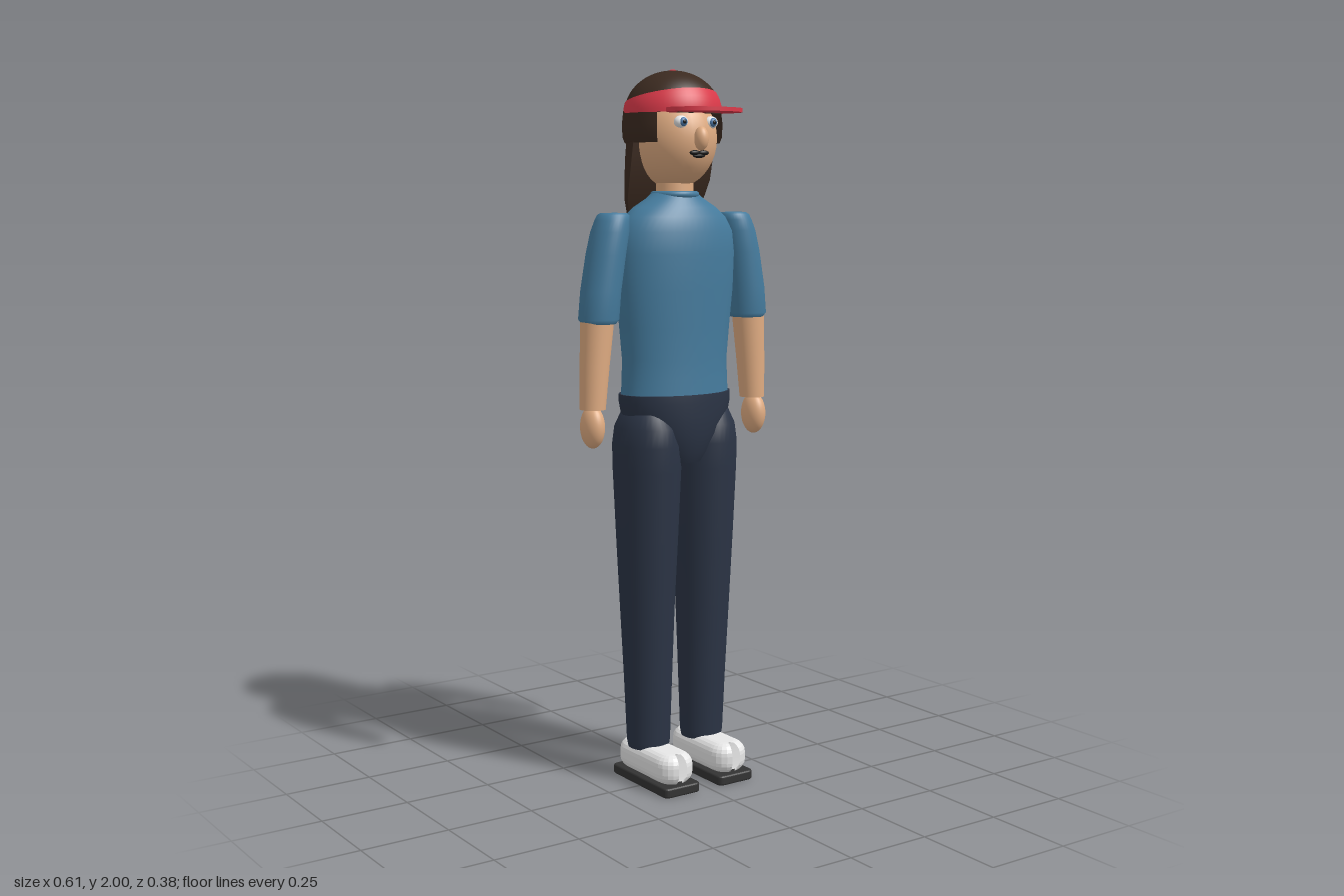
import * as THREE from 'three';

const mat = (name, color, side = THREE.FrontSide) => {
  const m = new THREE.MeshStandardMaterial({ color, side });
  m.name = name;
  return m;
};

// Closed skin over elliptical rings, listed bottom to top: [y, rx, rz, cx, cz].
// flatFront cuts away the front half of every ring.
function loft(rings, { flatFront = false, n = 36 } = {}) {
  const all = [[rings[0][0], 0, 0, ...rings[0].slice(3)], rings[0], ...rings,
    rings.at(-1), [rings.at(-1)[0], 0, 0, ...rings.at(-1).slice(3)]];
  const pos = [], idx = [];
  all.forEach(([y, rx, rz, cx = 0, cz = -0.038], i) => {
    for (let j = 0; j < n; j++) {
      const a = (j / n) * Math.PI * 2;
      const c = flatFront ? Math.min(0, Math.cos(a)) : Math.cos(a);
      pos.push(cx + rx * Math.sin(a), y, cz + rz * c);
      if (i === all.length - 1) continue;
      const p = i * n + j, q = i * n + ((j + 1) % n);
      idx.push(p, q, q + n, p, q + n, p + n);
    }
  });
  const g = new THREE.BufferGeometry();
  g.setAttribute('position', new THREE.Float32BufferAttribute(pos, 3));
  g.setIndex(idx);
  g.computeVertexNormals();
  return g;
}

// Box with rounded corners in plan and a rounded edge all round
function roundedSlab(w, h, d, r, bevel) {
  const x = w / 2 - bevel, z = d / 2 - bevel, s = new THREE.Shape();
  s.moveTo(-x + r, -z);
  s.lineTo(x - r, -z); s.quadraticCurveTo(x, -z, x, -z + r);
  s.lineTo(x, z - r); s.quadraticCurveTo(x, z, x - r, z);
  s.lineTo(-x + r, z); s.quadraticCurveTo(-x, z, -x, z - r);
  s.lineTo(-x, -z + r); s.quadraticCurveTo(-x, -z, -x + r, -z);
  const g = new THREE.ExtrudeGeometry(s, {
    depth: h - 2 * bevel, bevelThickness: bevel, bevelSize: bevel, bevelSegments: 5, curveSegments: 6,
  });
  return g.translate(0, 0, bevel - h / 2).rotateX(-Math.PI / 2);
}

// Cap band hugging the crown, taller at the front than at the back
function bandGeometry() {
  const n = 64, rows = 6, pos = [], idx = [];
  for (let i = 0; i <= rows; i++) {
    for (let j = 0; j < n; j++) {
      const a = (j / n) * Math.PI * 2;
      const top = 1.922 + 0.024 * Math.cos(a);
      const y = 1.88 + (top - 1.88) * (i / rows);
      const r = 0.1365 * Math.sqrt(1 - ((y - 1.88) / 0.119) ** 2);
      pos.push(r * Math.sin(a), y, -0.047 + r * Math.cos(a));
      if (i === rows) continue;
      const p = i * n + j, q = i * n + ((j + 1) % n);
      idx.push(p, q, q + n, p, q + n, p + n);
    }
  }
  const g = new THREE.BufferGeometry();
  g.setAttribute('position', new THREE.Float32BufferAttribute(pos, 3));
  g.setIndex(idx);
  g.computeVertexNormals();
  return g;
}

export function createModel() {
  const model = new THREE.Group();
  model.name = 'standingPerson';

  const shirt = mat('shirtBlue', 0x457b9d);
  const navy = mat('trouserNavy', 0x2b3445);
  const skin = mat('skin', 0xe0ac82);
  const hair = mat('hairBrown', 0x3b2a20, THREE.DoubleSide);
  const red = mat('capRed', 0xdc3a4a, THREE.DoubleSide);
  const white = mat('shoeWhite', 0xf0f0f0);
  const sole = mat('soleGrey', 0x333333);
  const iris = mat('irisBlue', 0x4a78a8);
  const dark = mat('pupilBlack', 0x1a1a1a);

  const add = (name, geo, material, x = 0, y = 0, z = 0) => {
    const m = new THREE.Mesh(geo, material);
    m.name = name;
    m.position.set(x, y, z);
    model.add(m);
    return m;
  };
  const ball = (name, material, x, y, z, rx, ry, rz) =>
    add(name, new THREE.SphereGeometry(1, 32, 20).scale(rx, ry, rz), material, x, y, z);

  // Torso and collar
  add('torso', loft([
    [1.09, 0.168, 0.107], [1.15, 0.164, 0.105], [1.21, 0.163, 0.104], [1.3, 0.172, 0.106],
    [1.4, 0.183, 0.11], [1.5, 0.187, 0.112], [1.56, 0.181, 0.107], [1.6, 0.158, 0.095],
    [1.625, 0.128, 0.082], [1.65, 0.085, 0.065], [1.665, 0.066, 0.057],
  ], { n: 48 }), shirt);
  add('collar', new THREE.TorusGeometry(0.058, 0.01, 12, 40).rotateX(Math.PI / 2), shirt, 0, 1.66, -0.038);

  // Hips
  add('hips', loft([
    [0.92, 0.078, 0.085], [0.95, 0.1, 0.1], [1.0, 0.138, 0.112], [1.05, 0.163, 0.115],
    [1.09, 0.172, 0.116], [1.112, 0.172, 0.115],
  ], { n: 48 }), navy);

  for (const [side, s] of [['left', 1], ['right', -1]]) {
    // Legs
    add(side + 'Leg', loft([
      [0.1, 0.058, 0.058, s * 0.092], [0.12, 0.062, 0.061, s * 0.092], [0.3, 0.068, 0.07, s * 0.093],
      [0.5, 0.075, 0.082, s * 0.095], [0.7, 0.084, 0.094, s * 0.095], [0.9, 0.092, 0.105, s * 0.095],
      [0.97, 0.091, 0.108, s * 0.096], [1.02, 0.083, 0.102, s * 0.097], [1.06, 0.063, 0.082, s * 0.099],
      [1.085, 0.034, 0.045, s * 0.1], [1.092, 0.001, 0.001, s * 0.1],
    ]), navy);

    // Shoes
    add(side + 'Shoe', roundedSlab(0.114, 0.086, 0.274, 0.025, 0.033), white, s * 0.092, 0.068, 0);
    add(side + 'Sole', roundedSlab(0.12, 0.028, 0.28, 0.012, 0.006), sole, s * 0.092, 0.014, 0);

    // Arms
    add(side + 'Sleeve', loft([
      [1.313, 0.047, 0.048, s * 0.25], [1.325, 0.056, 0.056, s * 0.25], [1.4, 0.055, 0.058, s * 0.243],
      [1.5, 0.054, 0.058, s * 0.226], [1.56, 0.052, 0.056, s * 0.213], [1.59, 0.047, 0.05, s * 0.206],
      [1.605, 0.044, 0.044, s * 0.202], [1.611, 0.036, 0.034, s * 0.201],
    ]), shirt);
    add(side + 'Forearm', loft([
      [1.08, 0.035, 0.037, s * 0.271], [1.2, 0.041, 0.041, s * 0.264], [1.33, 0.047, 0.045, s * 0.254],
    ]), skin);
    ball(side + 'Hand', skin, s * 0.274, 1.032, -0.035, 0.031, 0.059, 0.042);

    // Eyes and brows
    ball(side + 'EyeWhite', white, s * 0.049, 1.854, 0.064, 0.021, 0.017, 0.016);
    ball(side + 'Iris', iris, s * 0.049, 1.854, 0.075, 0.012, 0.012, 0.008);
    ball(side + 'Pupil', dark, s * 0.049, 1.854, 0.081, 0.006, 0.006, 0.004);
    add(side + 'Brow', new THREE.BoxGeometry(0.05, 0.014, 0.012), hair, s * 0.044, 1.885, 0.078);

    // Upper lip
    ball(side + 'UpperLip', dark, s * 0.014, 1.772, 0.08, 0.017, 0.007, 0.008);
  }

  // Neck, head and face
  add('neck', new THREE.CylinderGeometry(0.05, 0.054, 0.13, 32), skin, 0, 1.675, -0.038);
  ball('head', skin, 0, 1.812, -0.042, 0.115, 0.135, 0.128);
  ball('nose', skin, 0, 1.81, 0.089, 0.02, 0.032, 0.022);
  ball('lowerLip', dark, 0, 1.764, 0.078, 0.02, 0.006, 0.008);

  // Hair: crown, open-fronted sides, long back
  add('hairCrown', new THREE.SphereGeometry(1, 48, 16, 0, Math.PI * 2, 0, Math.PI / 2)
    .scale(0.134, 0.117, 0.134), hair, 0, 1.88, -0.047);
  const open = 0.9;
  add('hairSides', new THREE.LatheGeometry(
    [[0.131, 1.8], [0.137, 1.815], [0.139, 1.85], [0.134, 1.895]].map(p => new THREE.Vector2(...p)),
    48, open, Math.PI * 2 - 2 * open), hair, 0, 0, -0.05);
  add('hairBack', loft([
    [1.597, 0.098, 0.05, 0, -0.108], [1.61, 0.112, 0.06, 0, -0.1], [1.65, 0.128, 0.084, 0, -0.08],
    [1.7, 0.135, 0.106, 0, -0.06], [1.76, 0.136, 0.121, 0, -0.047], [1.83, 0.13, 0.128, 0, -0.042],
  ], { flatFront: true, n: 48 }), hair);

  // Cap: band, brim and button
  add('capBand', bandGeometry(), red);
  add('capBrim', new THREE.CylinderGeometry(1, 1, 0.011, 48).scale(0.11, 1, 0.085), red, 0, 1.885, 0.104);
  ball('capButton', red, 0, 1.994, -0.047, 0.012, 0.006, 0.012);

  return model;
}
